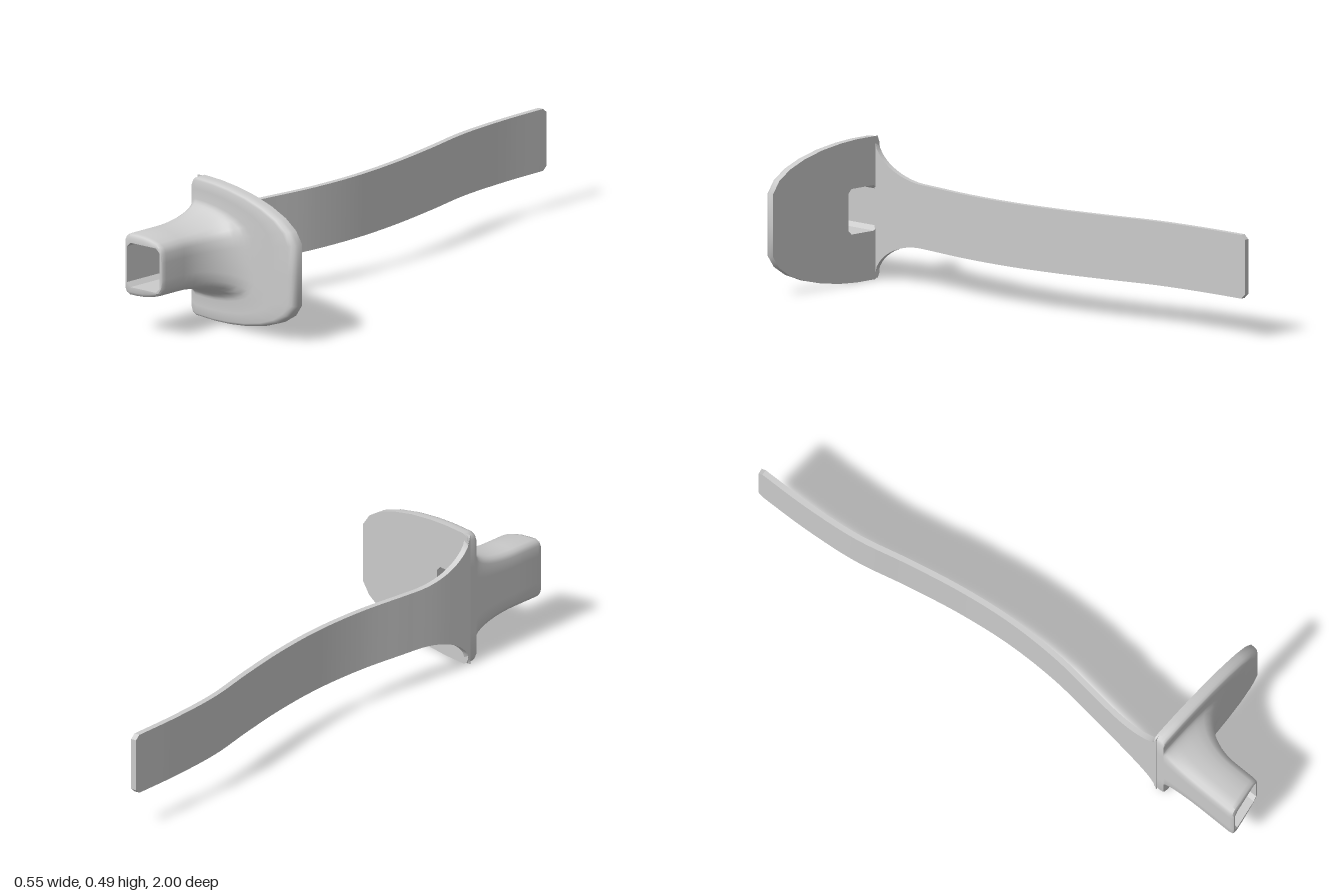
import * as THREE from 'three';
import { toCreasedNormals } from 'three/addons/utils/BufferGeometryUtils.js';

const MID = 0.245, SLOPE = 0.17;
const material = new THREE.MeshStandardMaterial({ color: 0xcccccc });

// Skin a series of closed rings of [x, y, z] points
function loft(rings, crease) {
  const n = rings[0].length, index = [];
  for (let r = 0; r < rings.length - 1; r++) {
    for (let i = 0; i < n; i++) {
      const a = r * n + i, b = r * n + (i + 1) % n;
      index.push(a, b, a + n, b, b + n, a + n);
    }
  }
  const g = new THREE.BufferGeometry();
  g.setAttribute('position', new THREE.Float32BufferAttribute(rings.flat(2), 3));
  g.setIndex(index);
  return toCreasedNormals(g, crease);
}

// Mirror a half outline (left middle, over the top, to right middle)
function closed(half) {
  return [...half, ...half.slice(1, -1).reverse().map(([a, y]) => [a, -y])];
}

const mix = (P, Q, e) => P.map(([a, y], i) => [a + (Q[i][0] - a) * e, y + (Q[i][1] - y) * e]);

// Place an outline at height h above the slanted flange front, or at a fixed z;
// the flat left side leans outward toward the front
function place(outline, h, fixedZ) {
  return outline.map(([a, y]) => {
    const z = fixedZ ?? (0.7 + SLOPE * (a - 0.02 + SLOPE * 0.655) + h) / (1 + SLOPE * SLOPE);
    return [a - 0.22 - SLOPE * (z - 0.655), MID + y, z];
  });
}

const neck = closed([[0, 0], [0, 0.05], [0, 0.088], [0.006, 0.102], [0.02, 0.109], [0.05, 0.109],
  [0.08, 0.107], [0.11, 0.101], [0.135, 0.093], [0.153, 0.082], [0.161, 0.062], [0.162, 0.03], [0.162, 0]]);
const flange = closed([[0, 0], [0, 0.12], [0, 0.222], [0.007, 0.238], [0.023, 0.245], [0.11, 0.245],
  [0.185, 0.24], [0.275, 0.228], [0.36, 0.208], [0.43, 0.182], [0.482, 0.149], [0.511, 0.108], [0.511, 0]]);
const bore = closed([[0.012, 0], [0.012, 0.04], [0.012, 0.063], [0.019, 0.07], [0.027, 0.078], [0.05, 0.078],
  [0.07, 0.078], [0.09, 0.078], [0.11, 0.078], [0.135, 0.078], [0.15, 0.063], [0.15, 0.03], [0.15, 0]]);

function buildGuard() {
  // Neck mouth with softened edge
  const rings = [place(bore, 0, 1), place(mix(bore, neck, 0.55), 0, 1),
    place(mix(bore, neck, 0.88), 0, 0.995), place(neck, 0, 0.982)];
  // Concave sweep from neck into flange
  const steps = 12;
  for (let k = 0; k <= steps; k++) {
    const t = k / steps * Math.PI / 2;
    rings.push(place(mix(neck, flange, 0.44 * (1 - Math.cos(t))), 0.185 * (1 - Math.sin(t))));
  }
  // Flange face, rounded rim and flat back
  for (const [e, h] of [[0.7, 0], [0.92, 0], [0.965, -0.003], [0.99, -0.011], [1, -0.022], [1, -0.041]])
    rings.push(place(mix(neck, flange, e), h));
  rings.push(place(bore, -0.041));
  return loft(rings, 0.84);
}

function buildStrip() {
  // Wavy centre line, [x, z]
  const curve = new THREE.CatmullRomCurve3([[-0.213, 0.665], [-0.185, 0.53], [-0.15, 0.4], [-0.095, 0.2],
    [-0.062, 0], [-0.052, -0.2], [-0.058, -0.4], [-0.07, -0.6], [-0.057, -0.8], [-0.03, -1]]
    .map(([x, z]) => new THREE.Vector3(x, 0, z)));
  const count = 110, t = 0.01;
  const rings = [];
  for (let k = 0; k <= count; k++) {
    const { x, z } = curve.getPoint(k / count);
    // Width flares in a concave curve where it joins the flange
    const f = THREE.MathUtils.clamp((z - 0.43) / 0.235, 0, 1);
    let w = 0.109 + 0.134 * (1 - Math.sqrt(1 - f * f));
    // Rounded tip corners
    const d = Math.max(0, z + 1);
    if (d < 0.015) w -= 0.015 - Math.sqrt(0.015 ** 2 - (0.015 - d) ** 2);
    rings.push([[x - t, MID - w, z], [x - t, MID + w, z], [x + t, MID + w, z], [x + t, MID - w, z]]);
  }
  // End caps
  const cap = ring => ring.map(() => [(ring[0][0] + ring[2][0]) / 2, MID, ring[0][2]]);
  return loft([cap(rings[0]), ...rings, cap(rings[count])], 0.7);
}

export function createModel() {
  const group = new THREE.Group();
  const add = (name, geometry) => {
    const mesh = new THREE.Mesh(geometry, material);
    mesh.name = name;
    group.add(mesh);
  };
  add('flangeAndNeck', buildGuard());
  // Chamfered passage through neck and flange
  add('passage', loft([place(bore, -0.041), place(bore, 0, 1)], 0.5));
  add('curvedStrip', buildStrip());
  return group;
}
